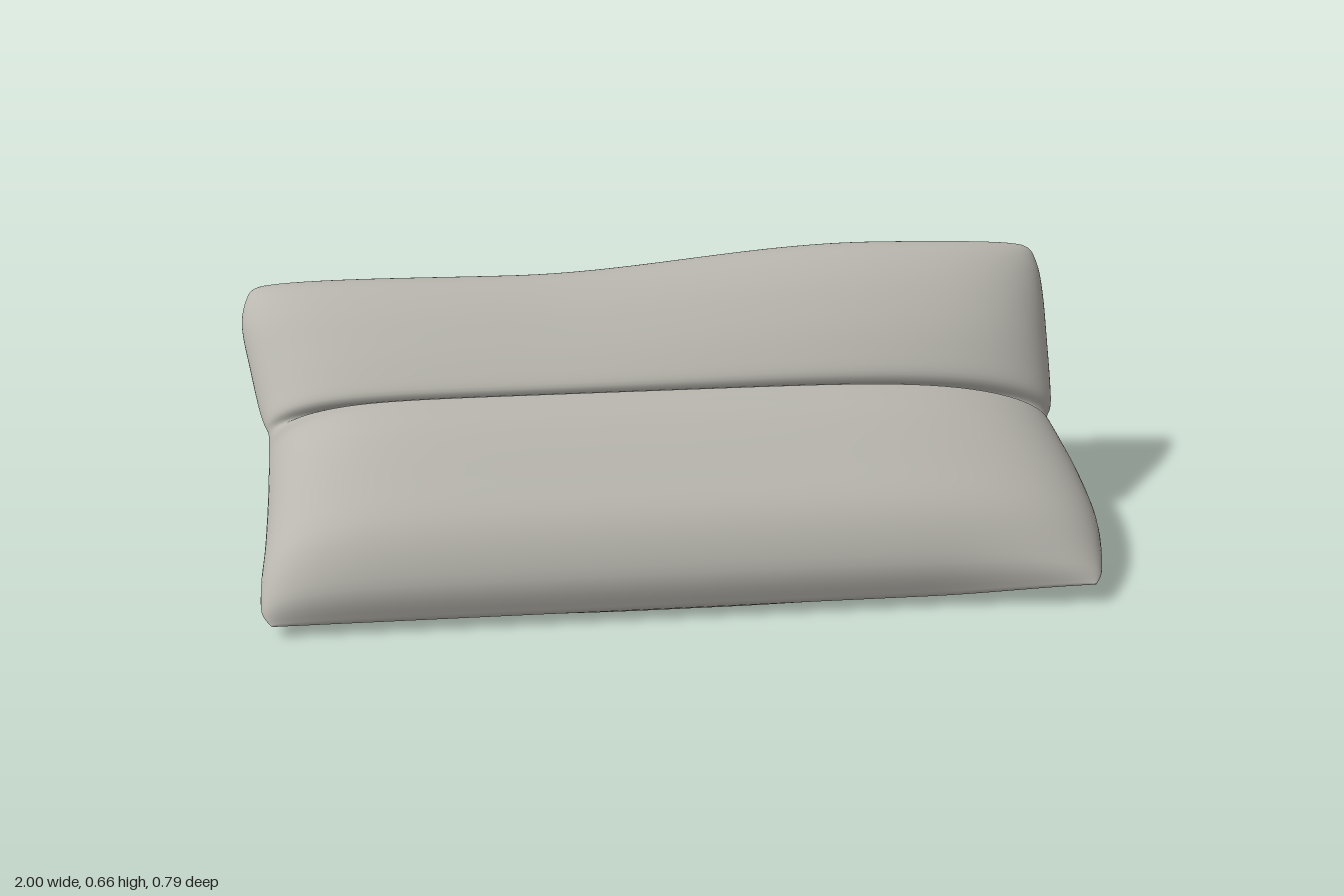
import * as THREE from 'three';
import { mergeVertices } from 'three/addons/utils/BufferGeometryUtils.js';

// Stations from the front edge to the back edge, as [z, y]: upper skin, lower skin, side seam
const TOP = [[0.372, 0.03], [0.38, 0.12], [0.322, 0.232], [0.21, 0.312], [0.09, 0.383], [0.01, 0.403], [-0.013, 0.41],
  [-0.032, 0.388], [-0.021, 0.427], [-0.06, 0.478], [-0.12, 0.537], [-0.2, 0.6], [-0.28, 0.638], [-0.348, 0.634], [-0.385, 0.61]];
const BOTTOM = [[0.372, 0.03], [0.338, 0.012], [0.27, 0.002], [0.18, 0.024], [0.07, 0.057], [-0.05, 0.107], [-0.12, 0.148],
  [-0.146, 0.182], [-0.177, 0.21], [-0.23, 0.258], [-0.3, 0.336], [-0.356, 0.42], [-0.38, 0.5], [-0.39, 0.565], [-0.385, 0.61]];
const SEAM = [[0.372, 0.03], [0.347, 0.052], [0.285, 0.088], [0.19, 0.122], [0.07, 0.165], [-0.03, 0.215], [-0.07, 0.247],
  [-0.086, 0.27], [-0.105, 0.292], [-0.147, 0.335], [-0.217, 0.415], [-0.295, 0.51], [-0.347, 0.572], [-0.375, 0.606], [-0.385, 0.61]];
// Half widths of the right (-x) and left (+x) ends at each station
const NEG_X = [0.92, 0.942, 0.945, 0.94, 0.938, 0.937, 0.935, 0.935, 0.945, 0.96, 0.98, 1, 0.992, 0.965, 0.88];
const POS_X = [0.95, 0.972, 0.99, 1, 0.99, 0.97, 0.955, 0.947, 0.96, 0.967, 0.972, 0.975, 0.968, 0.94, 0.84];

const { smoothstep, lerp } = THREE.MathUtils;
const curve = pts => new THREE.SplineCurve(pts.map(([z, y]) => new THREE.Vector2(z, y)));
const widths = list => curve(list.map((w, i) => [i, w]));
const nearFold = s => Math.exp(-(((s - 0.5) / 0.16) ** 2));

// How far a skin stands off the seam: the underside tapers more gently than the top
function fullnessAt(isTop, u, s) {
  let power;
  if (isTop) power = u < 0 ? 8 : 4.5 + 1.5 * smoothstep(s, 0.55, 0.75);
  else power = u < 0 ? 5 - 2 * nearFold(s) : 4.5;
  return (1 - Math.abs(u) ** power) ** 0.56;
}

// Skin point at u (-1..1 across the width) and s (0..1 front to back)
function skinPoint(skin, isTop, seam, neg, pos, u, s) {
  const fullness = fullnessAt(isTop, u, s);
  const m = seam.getPoint(s);
  if (u < 0) { // the seam climbs into the fold at the -x end
    m.x += 0.02 * nearFold(s);
    m.y += 0.045 * nearFold(s);
  }
  const p = m.lerp(skin.getPoint(s), fullness);
  const x = u * (u < 0 ? neg : pos).getPoint(s).y;
  // the back edge rises towards +x and waves in and out
  const edge = smoothstep(s, 0.65, 1);
  const lift = isTop ? lerp(edge, smoothstep(s, 0.5, 0.85), fullness) : edge;
  const rise = lift * (-0.035 + 0.055 * smoothstep(x, -0.35, 0.55));
  const wave = edge * (0.003 + 0.008 * Math.cos(5.2 * (x + 0.25)));
  // the underside bows up towards the ends, and the +x front corner sticks out
  const bow = isTop ? 0 : 0.027 * fullness * smoothstep(Math.abs(x), 0.1, 0.8) * (1 - smoothstep(s, 0.1, 0.45)) * smoothstep(s, 0, 0.08);
  const corner = 0.02 * smoothstep(u, 0.6, 1) * (1 - smoothstep(s, 0, 0.15));
  return [x, p.y + rise + bow + corner, p.x + wave + corner];
}

function cushionGeometry() {
  const top = curve(TOP), bottom = curve(BOTTOM), seam = curve(SEAM);
  const neg = widths(NEG_X), pos = widths(POS_X);
  const cols = 64, rows = 70, ring = rows * 2;
  const position = [], index = [];
  for (let i = 0; i <= cols; i++) {
    const u = Math.sin((i / cols - 0.5) * Math.PI);
    for (let j = 0; j < ring; j++) {
      const isTop = j <= rows;
      const s = (isTop ? j : ring - j) / rows;
      position.push(...skinPoint(isTop ? top : bottom, isTop, seam, neg, pos, u, s));
    }
  }
  for (let i = 0; i < cols; i++) {
    for (let j = 0; j < ring; j++) {
      const a = i * ring + j, b = i * ring + (j + 1) % ring;
      index.push(a, a + ring, b + ring, a, b + ring, b);
    }
  }
  let geometry = new THREE.BufferGeometry();
  geometry.setAttribute('position', new THREE.Float32BufferAttribute(position, 3));
  geometry.setIndex(index);
  geometry = mergeVertices(geometry, 1e-5); // join the two skins along the side seams
  geometry.computeVertexNormals();
  return geometry;
}

export function createModel() {
  const cloth = new THREE.MeshStandardMaterial({ color: 0xb8b6ae });
  cloth.name = 'warm grey cloth';
  const cushion = new THREE.Mesh(cushionGeometry(), cloth);
  cushion.name = 'foldedCushion';
  const model = new THREE.Group();
  model.name = 'cushion';
  model.add(cushion);
  return model;
}
